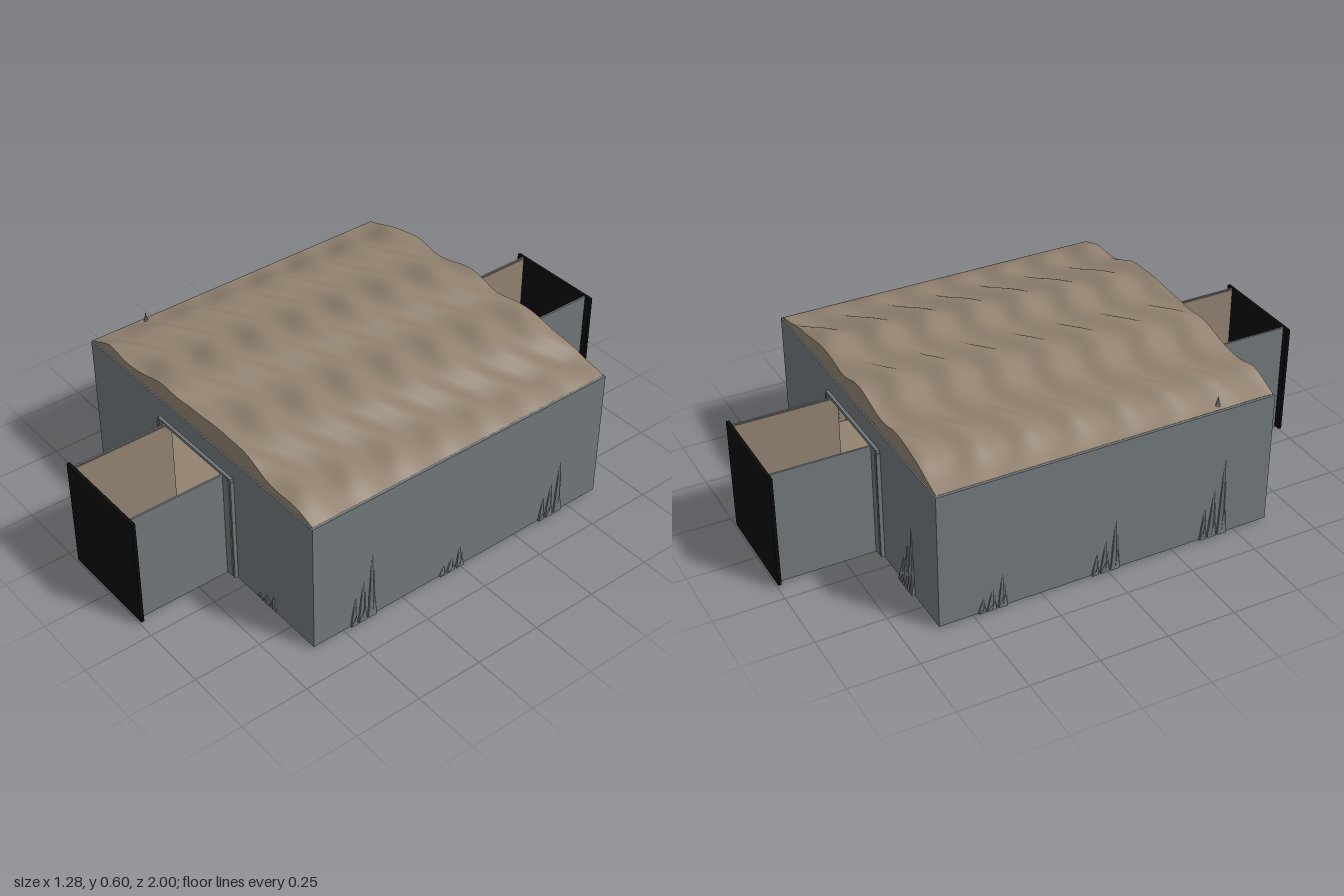
import * as THREE from 'three';

const mat = (name, color, side = THREE.FrontSide) => {
  const m = new THREE.MeshStandardMaterial({ color, side });
  m.name = name;
  return m;
};

export function createModel() {
  const root = new THREE.Group();
  root.name = 'sandRoofedChamber';
  const stone = mat('grey stone', 0x70777a);
  const sand = mat('brown sand', 0x928270, THREE.DoubleSide);
  const black = mat('black', 0x0b0b0b);

  const R = 0.625, FLOOR = 0.015, TOP = 0.51, DOOR = 0.435;

  const add = (name, geo, material, x = 0, y = 0, z = 0, parent = root) => {
    const m = new THREE.Mesh(geo, material);
    m.name = name;
    m.position.set(x, y, z);
    parent.add(m);
    return m;
  };
  // Box given by its minimum and maximum corners
  const box = (name, material, a, b, parent) => add(name,
    new THREE.BoxGeometry(b[0] - a[0], b[1] - a[1], b[2] - a[2]), material,
    (a[0] + b[0]) / 2, (a[1] + b[1]) / 2, (a[2] + b[2]) / 2, parent);

  // Floor slab of the room, with sand on top
  box('roomSlab', stone, [-R, 0.008, -R], [R, FLOOR, R]);
  box('roomFloor', sand, [-0.615, FLOOR, -0.615], [0.615, 0.018, 0.615]);

  // Studs under the slab
  for (let i = 0; i < 6; i++) for (const z of [-0.125, 0.125])
    add('stud', new THREE.CylinderGeometry(0.028, 0.028, 0.01, 8), stone, -0.49 + i * 0.185, 0.005, z);

  // Side walls, grey outside and sand coloured inside
  for (const s of [-1, 1]) {
    add('sideWall', new THREE.BoxGeometry(0.01, TOP - 0.01, 2 * R), stone, s * (R - 0.003), (TOP + 0.01) / 2, 0);
    add('sideLining', new THREE.BoxGeometry(0.004, TOP - 0.02, 2 * R - 0.02), sand, s * (R - 0.01), TOP / 2 + 0.005, 0);
  }

  // End walls with a doorway
  const wallShape = new THREE.Shape([
    [-R, 0.01], [-0.205, 0.01], [-0.205, DOOR], [0.205, DOOR], [0.205, 0.01], [R, 0.01], [R, TOP], [-R, TOP],
  ].map(([x, y]) => new THREE.Vector2(x, y)));
  const slab = (depth) => new THREE.ExtrudeGeometry(wallShape, { depth, bevelEnabled: false });

  // Sand-worn patches on the corridor floors: x, distance out, half width, half length
  const patches = {
    '1': [[-0.07, 0.93, 0.032, 0.055], [0.1, 0.96, 0.03, 0.022], [-0.11, 0.67, 0.03, 0.025],
      [-0.02, 0.66, 0.022, 0.025], [0.07, 0.67, 0.025, 0.04], [0.145, 0.69, 0.014, 0.02], [0.06, 0.52, 0.06, 0.06]],
    '-1': [[0.07, 0.94, 0.032, 0.055], [-0.13, 0.96, 0.02, 0.025], [-0.03, 0.965, 0.02, 0.018],
      [0.14, 0.95, 0.018, 0.03], [-0.1, 0.655, 0.04, 0.022], [0.02, 0.66, 0.022, 0.022], [0.14, 0.69, 0.016, 0.03]],
  };

  for (const s of [1, -1]) {
    const end = new THREE.Group();
    end.name = s > 0 ? 'frontEnd' : 'backEnd';
    if (s < 0) end.rotation.y = Math.PI;
    root.add(end);
    add('endWall', slab(0.01), stone, 0, 0, R - 0.01, end);
    add('endLining', slab(0.004), sand, 0, 0, R - 0.015, end);

    // Open corridor
    box('corridorSlab', stone, [-0.168, 0.008, R], [0.168, FLOOR, 0.99], end);
    box('corridorFloor', sand, [-0.16, FLOOR, 0.61], [0.16, 0.018, 0.988], end);
    for (const k of [-1, 1]) {
      const wall = add('corridorWall', new THREE.BoxGeometry(0.007, DOOR - 0.01, 0.375), stone,
        k * 0.1645, (DOOR + 0.01) / 2, 0.8, end);
      add('corridorLining', new THREE.BoxGeometry(0.004, DOOR - 0.016, 0.372), sand, -k * 0.004, -0.001, 0, wall);
      // Jamb beside the doorway
      box('doorJamb', stone, [k > 0 ? 0.166 : -0.198, 0.012, 0.612], [k > 0 ? 0.198 : -0.166, DOOR, 0.638], end);
      box('doorTrim', stone, [k > 0 ? 0.204 : -0.212, 0.012, 0.62], [k > 0 ? 0.212 : -0.204, DOOR - 0.01, 0.638], end);
    }
    box('doorHeader', stone, [-0.208, DOOR - 0.008, 0.612], [0.208, DOOR + 0.004, 0.636], end);

    // Black plate closing the corridor
    box('endPlate', black, [-0.193, 0.013, 0.988], [0.193, DOOR, 1], end);

    for (const [x, z, w, l] of patches[s]) {
      const g = new THREE.CircleGeometry(1, 14).rotateX(-Math.PI / 2).scale(w, 1, l);
      add('floorPatch', g, stone, x * s, 0.0195, z, end);
    }
  }

  // Height of the rippled, domed sand roof
  const roofY = (x, z) => {
    const t = Math.min(1, Math.abs(x) / 0.62);
    const edge = 1 - t ** 2.4;
    const ripple = 0.011 * Math.sin(37 * (z - 0.62) + 7 * x + 1.1 * Math.sin(16 * x + 2 * z));
    const swell = 0.009 * Math.cos(17 * (x + 0.17) + 1.5 * (z - 0.62));
    return TOP + 0.003 + 0.071 * edge + (ripple + swell) * Math.min(1, edge * 2.5);
  };
  const roof = new THREE.PlaneGeometry(1.24, 1.24, 90, 130).rotateX(-Math.PI / 2);
  const p = roof.attributes.position;
  for (let i = 0; i < p.count; i++) p.setY(i, roofY(p.getX(i), p.getZ(i)));
  roof.computeVertexNormals();
  add('sandRoof', roof, sand);

  // Upright ends of the roof
  for (const s of [-1, 1]) {
    const pts = [new THREE.Vector2(-0.62, TOP - 0.01)];
    for (let i = 0; i <= 90; i++) {
      const x = -0.62 + 1.24 * i / 90;
      pts.push(new THREE.Vector2(x, roofY(x, s * 0.62)));
    }
    pts.push(new THREE.Vector2(0.62, TOP - 0.01));
    add('roofEnd', new THREE.ShapeGeometry(new THREE.Shape(pts)), sand, 0, 0, s * 0.62);
  }

  // Jagged rock shards growing out of the walls
  const shard = (parent, x, h, w, lean) => {
    let g = new THREE.ConeGeometry(1, 1, 7, 3).toNonIndexed();
    const q = g.attributes.position;
    for (let i = 0; i < q.count; i++) {
      const y = q.getY(i) + 0.5, a = Math.atan2(q.getZ(i), q.getX(i));
      const f = 1 + 0.25 * Math.sin(a * 3 + y * 7) + 0.5 * y;
      q.setXYZ(i, q.getX(i) * f * w + lean * y, y * h, q.getZ(i) * f * 0.015);
    }
    g.computeVertexNormals();
    add('shard', g, stone, x, 0.012, 0, parent);
  };
  // wall angle, position along the wall, height
  const clusters = [
    [Math.PI / 2, -0.42, 0.3], [Math.PI / 2, -0.04, 0.09], [Math.PI / 2, 0.41, 0.25],
    [-Math.PI / 2, -0.43, 0.14], [-Math.PI / 2, -0.01, 0.22], [-Math.PI / 2, 0.41, 0.34],
    [Math.PI, 0.4, 0.27], [Math.PI, -0.42, 0.25], [0, 0.38, 0.11],
  ];
  for (const [angle, along, h] of clusters) {
    const side = new THREE.Group();
    side.name = 'rockCluster';
    side.rotation.y = angle;
    root.add(side);
    const anchor = new THREE.Group();
    anchor.name = 'rocks';
    anchor.position.set(along, 0, angle === 0 ? R - 0.008 : R);
    side.add(anchor);
    shard(anchor, 0.03, h, 0.018, 0.005);
    shard(anchor, -0.01, h * 0.62, 0.018, 0.01);
    shard(anchor, -0.045, h * 0.4, 0.014, 0.012);
  }
  // Small tip poking through the roof
  add('rockTip', new THREE.ConeGeometry(0.014, 0.06, 6), stone, -0.6, 0.525, 0.415);

  return root;
}
